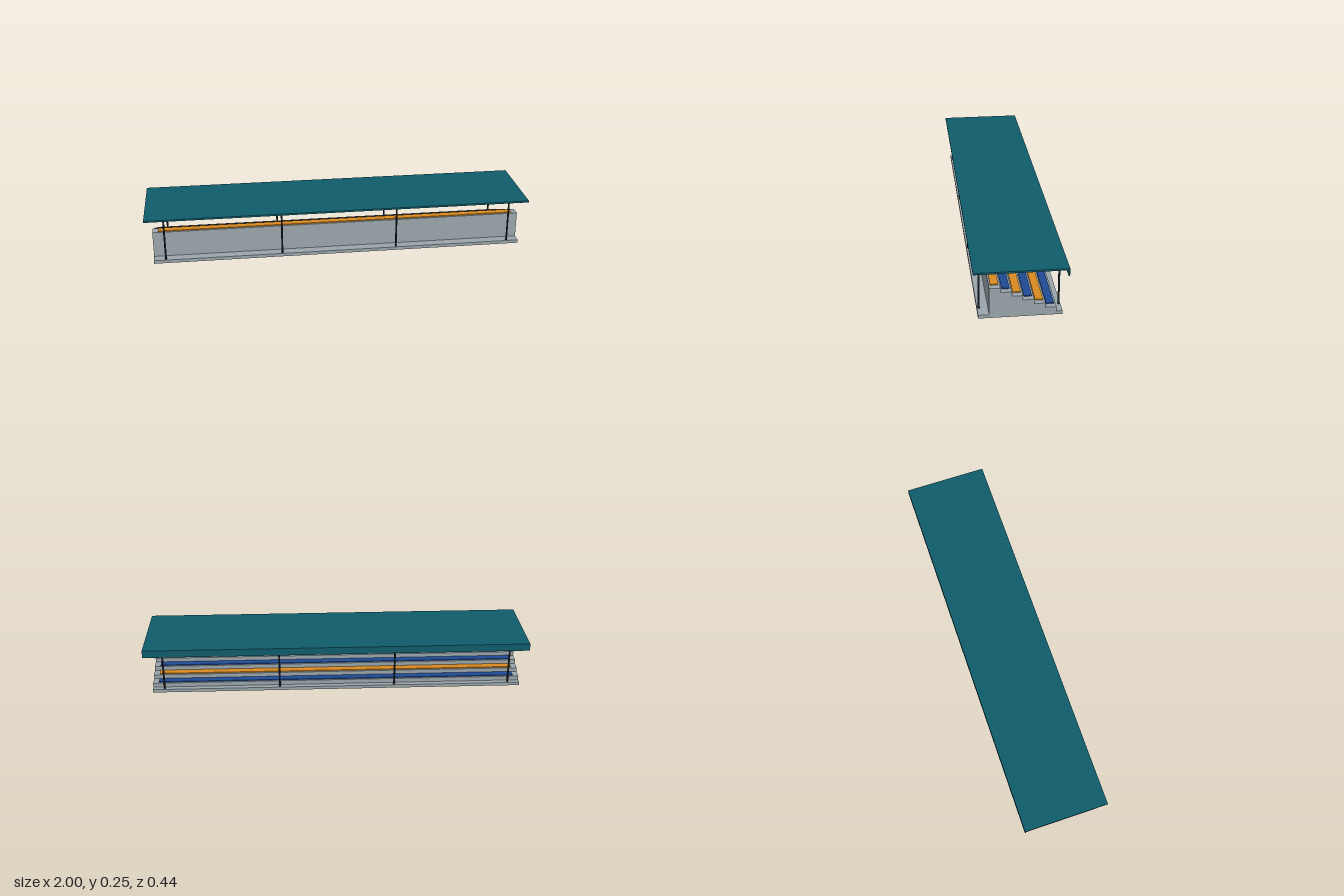
import * as THREE from 'three';

const mat = (name, color) => {
  const m = new THREE.MeshStandardMaterial({ color });
  m.name = name;
  return m;
};

export function createModel() {
  const group = new THREE.Group();
  group.name = 'grandstand';
  const concrete = mat('concrete grey', 0x9aa5ab);
  const teal = mat('roof teal', 0x0f5c6b);
  const steel = mat('dark steel', 0x1f2a33);
  const orange = mat('bench orange', 0xd98a1f);
  const blue = mat('bench blue', 0x1f4a94);

  const add = (name, geometry, material) => {
    const mesh = new THREE.Mesh(geometry, material);
    mesh.name = name;
    group.add(mesh);
    return mesh;
  };
  // box given by its x width and its y and z limits
  const box = (name, width, y0, y1, z0, z1, material) =>
    add(name, new THREE.BoxGeometry(width, y1 - y0, z1 - z0), material)
      .position.set(0, (y0 + y1) / 2, (z0 + z1) / 2);

  const length = 1.93, baseTop = 0.017;
  box('baseSlab', length, 0, baseTop, -0.194, 0.194, concrete);

  // stepped terrace, one extruded profile rising toward +z
  const steps = 6, tread = 0.0515, rise = 0.0226, zStart = -0.166;
  const top = i => 0.0396 + i * rise;
  const profile = new THREE.Shape();
  profile.moveTo(-zStart, baseTop);
  for (let i = 0; i < steps; i++) {
    profile.lineTo(-(zStart + i * tread), top(i));
    profile.lineTo(-(zStart + (i + 1) * tread), top(i));
  }
  profile.lineTo(-(zStart + steps * tread), baseTop);
  const terrace = new THREE.ExtrudeGeometry(profile, { depth: length, bevelEnabled: false });
  terrace.translate(0, 0, -length / 2).rotateY(Math.PI / 2);
  add('terrace', terrace, concrete);

  // one long bench on each step, alternating colours
  for (let i = 0; i < steps; i++) {
    const z = zStart + (i + 0.5) * tread;
    box('bench' + (i + 1), 1.87, top(i), top(i) + 0.005, z - 0.0185, z + 0.0185, i % 2 ? orange : blue);
  }

  // two rows of roof posts
  const postGeometry = new THREE.CylinderGeometry(0.0047, 0.0047, 0.23, 8);
  for (const z of [-0.185, 0.185])
    for (const x of [-0.903, -0.301, 0.301, 0.903])
      add('roofPost', postGeometry, steel).position.set(x, 0.131, z);

  // flat roof with a hanging fascia on the seating side
  box('roof', 2, 0.245, 0.254, -0.217, 0.218, teal);
  box('fascia', 2, 0.215, 0.245, -0.217, -0.211, teal);

  return group;
}
